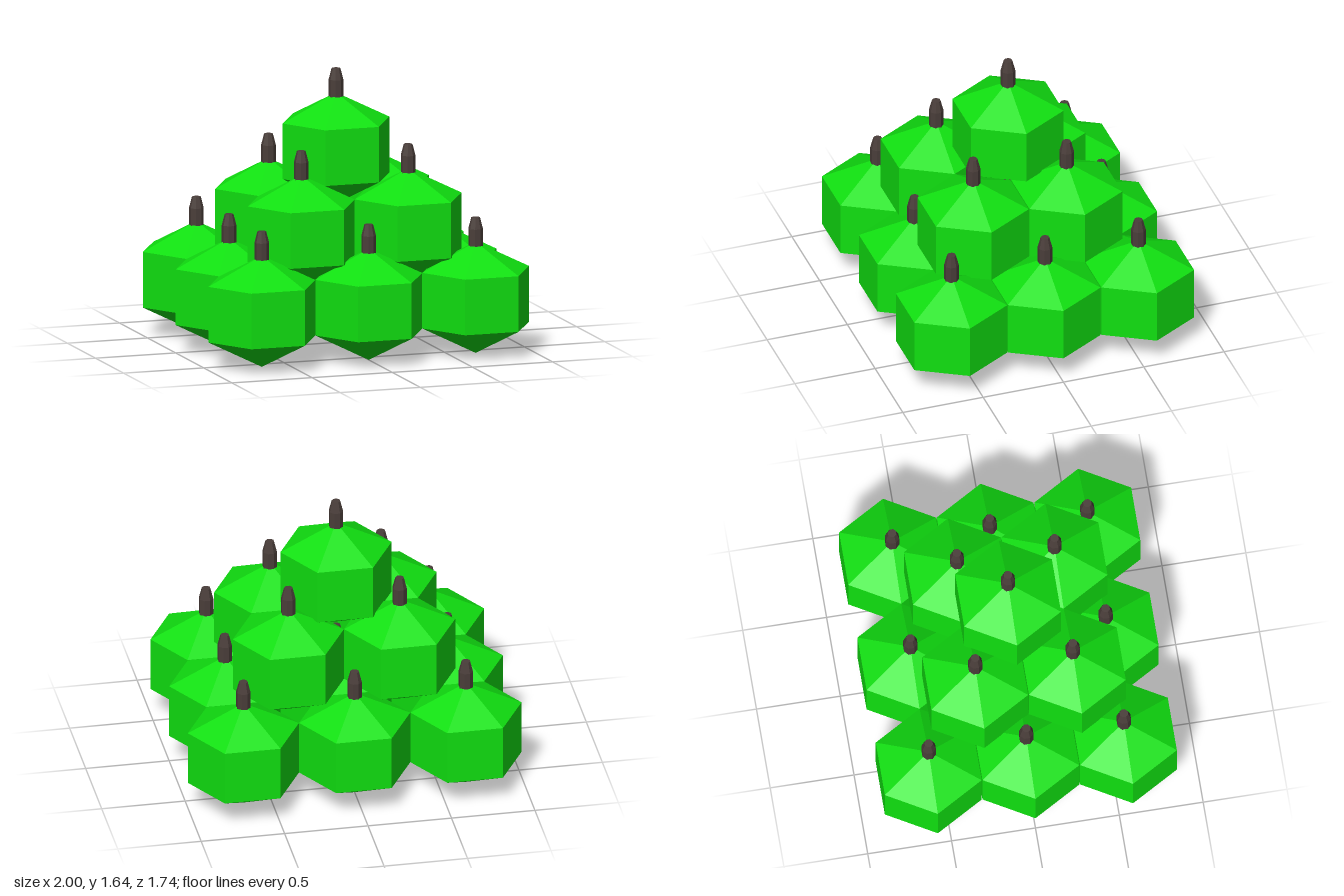
import * as THREE from 'three';

const R = 1 / 3;       // hexagon corner radius
const LAYER = 0.416;   // height step between layers

const green = new THREE.MeshStandardMaterial({ color: 0x10e010, flatShading: true });
green.name = 'leaf green';
const brown = new THREE.MeshStandardMaterial({ color: 0x4a3e3a, flatShading: true });
brown.name = 'dark bark';

// Faceted solid turned from a profile of [radius, height] pairs, bottom to top
function turned(profile, sides, start) {
  const points = profile.map(([r, y]) => new THREE.Vector2(r, y));
  return new THREE.LatheGeometry(points, sides, start);
}

// Hexagonal prism with a pyramid at both ends, corners pointing along x
const podGeometry = turned([[0, 0], [R, 0.167], [R, 0.5], [0, 0.666]], 6, Math.PI / 2);

// Eight-sided stub with a tapered tip
const stemGeometry = turned(
  [[0, 0.64], [0.0433, 0.64], [0.0433, 0.745], [0.026, 0.812], [0, 0.812]], 8, Math.PI / 8);

function createPod(x, y, z) {
  const group = new THREE.Group();
  group.name = 'pod';
  const body = new THREE.Mesh(podGeometry, green);
  body.name = 'podBody';
  const stem = new THREE.Mesh(stemGeometry, brown);
  stem.name = 'podStem';
  group.add(body, stem);
  group.position.set(x, y, z);
  return group;
}

export function createModel() {
  const model = new THREE.Group();
  model.name = 'podPyramid';

  // Each layer lists its columns (x) and rows (z)
  const layers = [
    { name: 'bottomLayer', xs: [-2 * R, 0, 2 * R], zs: [-0.582, 0, 0.582] },
    { name: 'middleLayer', xs: [-R, R], zs: [-0.25, 0.332] },
    { name: 'topLayer', xs: [0], zs: [0] },
  ];

  layers.forEach(({ name, xs, zs }, level) => {
    const layer = new THREE.Group();
    layer.name = name;
    for (const x of xs) for (const z of zs) layer.add(createPod(x, level * LAYER, z));
    model.add(layer);
  });

  return model;
}
